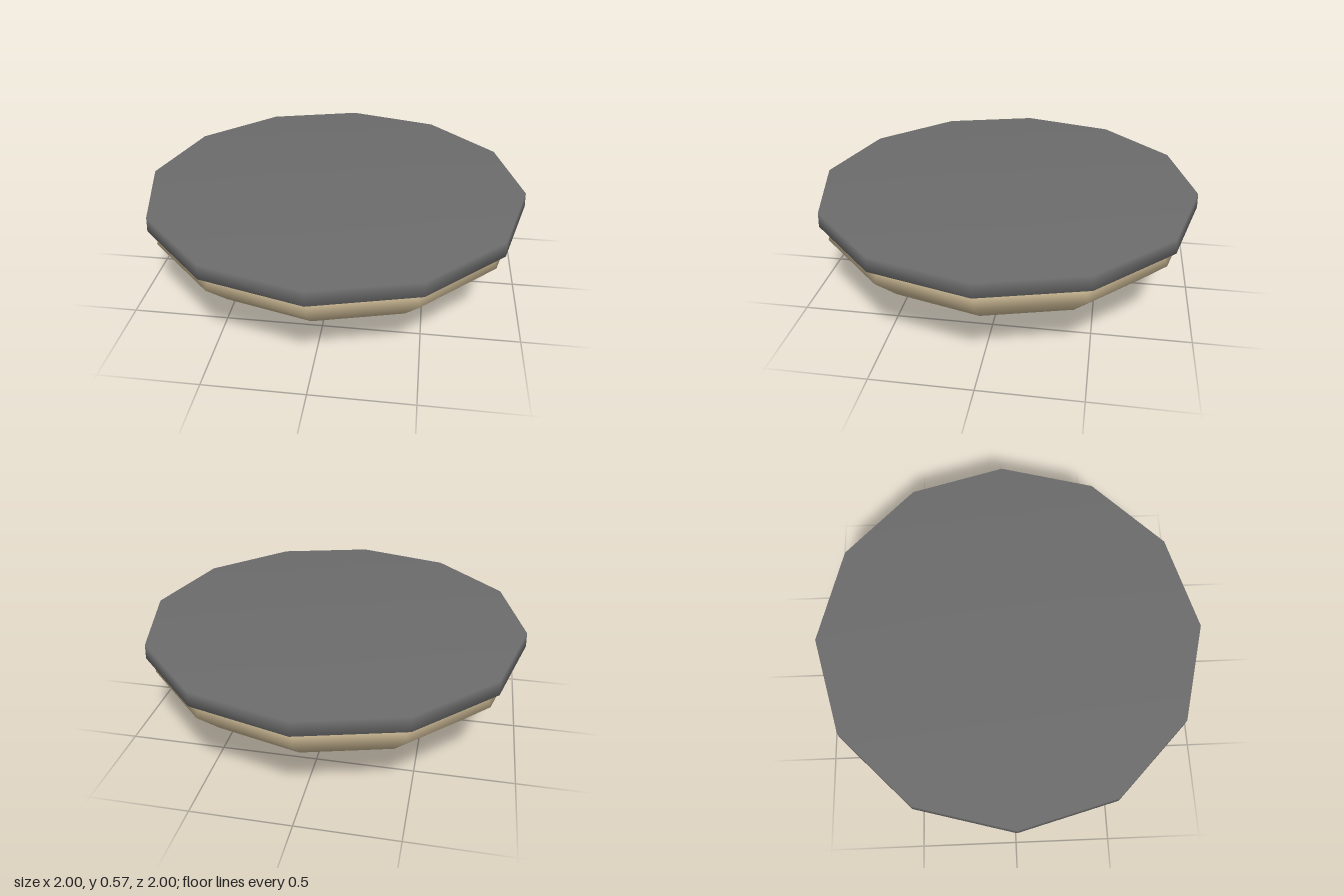
import * as THREE from 'three';

const SIDES = 12;

// Spins a bottom-to-top [radius, height] profile into a smooth twelve-sided part
function turned(name, profile, material) {
  const points = profile.map(([r, y]) => new THREE.Vector2(r, y));
  const mesh = new THREE.Mesh(new THREE.LatheGeometry(points, SIDES), material);
  mesh.name = name;
  return mesh;
}

export function createModel() {
  const metal = new THREE.MeshStandardMaterial({ color: 0x6c6c6c });
  metal.name = 'dark grey metal';
  const glass = new THREE.MeshStandardMaterial({ color: 0xcfbc97 });
  glass.name = 'warm tan glass';

  const lamp = new THREE.Group();
  lamp.name = 'ceilingLamp';

  // Mounting plate with a bevelled lower lip and a flat top
  lamp.add(turned('mountingPlate', [
    [0.94, 0.47], [1.0, 0.5], [0.996, 0.575], [0, 0.575],
  ], metal));

  // Shallow conical shade, widest just below the plate
  lamp.add(turned('glassShade', [
    [0.138, 0.06], [0.836, 0.294], [0.963, 0.417], [0.942, 0.472],
  ], glass));

  // Small cap and pointed knob under the shade
  lamp.add(turned('finial', [
    [0, 0], [0.013, 0.014], [0.015, 0.026], [0.14, 0.06],
  ], metal));

  return lamp;
}
